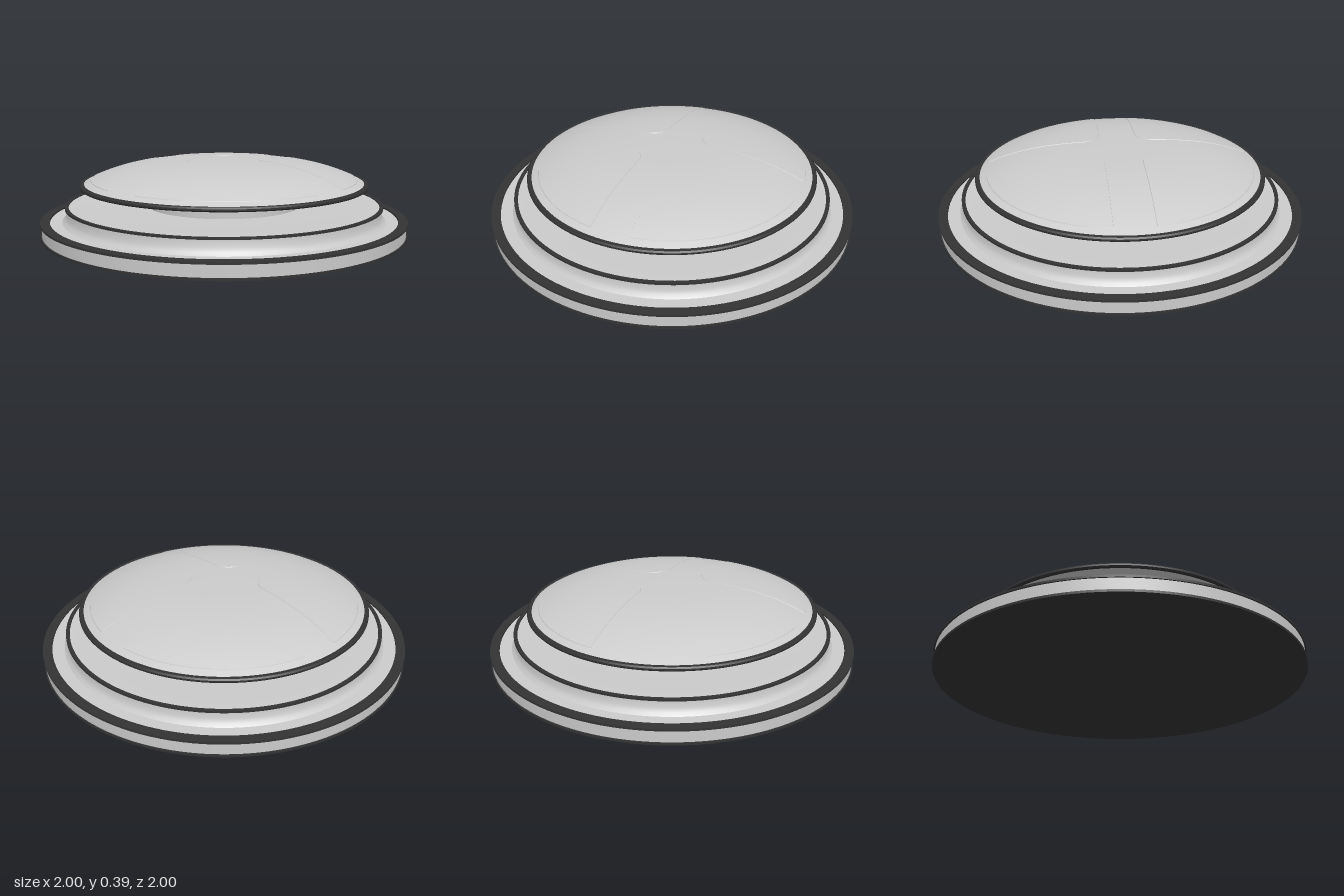
import * as THREE from 'three';
import { toCreasedNormals } from 'three/addons/utils/BufferGeometryUtils.js';

const grey = new THREE.MeshStandardMaterial({ color: 0xcccccc });
const dark = new THREE.MeshStandardMaterial({ color: 0x333333 });

// Height of the domed cap at a given radius
const domeY = (r) => 0.39 - 0.114 * Math.pow(r / 0.76, 3.2);

// Turned part; the profile runs anticlockwise in (radius, height)
function turned(name, profile, material) {
  const points = profile.map(([r, y]) => new THREE.Vector2(r, y));
  const lathe = new THREE.LatheGeometry(points, 128);
  const mesh = new THREE.Mesh(toCreasedNormals(lathe, 0.5), material);
  mesh.name = name;
  return mesh;
}

// Outline of one quarter panel: rounded inner corner, straight sides, outer arc
function panelOutline() {
  const gap = 0.1, fillet = 0.1, outer = 0.73;
  const end = Math.asin(gap / outer);
  const far = outer * Math.cos(end), near = gap + fillet;
  const pts = [];
  for (let i = 0; i < 14; i++) pts.push([near + (far - near) * i / 14, gap]);
  for (let i = 0; i < 28; i++) {
    const a = end + (Math.PI / 2 - 2 * end) * i / 28;
    pts.push([outer * Math.cos(a), outer * Math.sin(a)]);
  }
  for (let i = 0; i < 14; i++) pts.push([gap, far + (near - far) * i / 14]);
  for (let i = 0; i < 10; i++) {
    const a = Math.PI + Math.PI / 2 * i / 10;
    pts.push([near + fillet * Math.cos(a), near + fillet * Math.sin(a)]);
  }
  return pts;
}

// Thin panel that follows the dome, built from shrinking loops of the outline
function panelGeometry() {
  const outline = panelOutline(), n = outline.length, mid = 0.36;
  const scales = [1, 0.99, 0.85, 0.7, 0.55, 0.4, 0.25, 0.1, 0];
  const positions = [], index = [];
  scales.forEach((s, k) => {
    for (const [px, pz] of outline) {
      const x = mid + (px - mid) * s, z = mid + (pz - mid) * s;
      positions.push(x, domeY(Math.hypot(x, z)) + (k === 0 ? -0.002 : 0.003), z);
    }
    if (k === 0) return;
    for (let i = 0; i < n; i++) {
      const j = (i + 1) % n, a = (k - 1) * n, b = k * n;
      index.push(a + i, b + i, a + j);
      if (s > 0) index.push(a + j, b + i, b + j);
    }
  });
  const geometry = new THREE.BufferGeometry();
  geometry.setAttribute('position', new THREE.Float32BufferAttribute(positions, 3));
  geometry.setIndex(index);
  geometry.computeVertexNormals();
  return geometry;
}

export function createModel() {
  const model = new THREE.Group();

  // Base disc with dark foot and rim
  model.add(
    turned('foot', [[0, 0], [1, 0], [1, 0.012], [0.993, 0.012]], dark),
    turned('baseWall', [[0.993, 0.012], [0.993, 0.072]], grey),
    turned('baseRim', [[0.993, 0.072], [1, 0.072], [1, 0.083], [0.95, 0.083], [0.95, 0.076]], dark),
    turned('baseTop', [[0.95, 0.076], [0.885, 0.076]], grey),
  );

  // Raised step with its own dark edge and a shallow dished top
  model.add(
    turned('stepWall', [[0.885, 0.076], [0.872, 0.09], [0.862, 0.11], [0.86, 0.147]], grey),
    turned('stepRim', [[0.86, 0.147], [0.87, 0.147], [0.87, 0.157], [0.85, 0.157], [0.85, 0.152]], dark),
    turned('stepTop', [[0.85, 0.152], [0.78, 0.152], [0.7, 0.145], [0.43, 0.145]], grey),
  );

  // Neck and underside of the cap
  model.add(
    turned('neck', [[0.43, 0.145], [0.43, 0.256]], grey),
    turned('capUnderside', [[0.43, 0.256], [0.77, 0.256]], grey),
    turned('capRim', [[0.77, 0.256], [0.785, 0.254], [0.79, 0.26], [0.79, 0.268],
      [0.784, 0.275], [0.765, 0.275]], dark),
  );

  // Domed cap
  const profile = [];
  for (let i = 0; i <= 32; i++) {
    const r = 0.768 * (1 - i / 32);
    profile.push([r, domeY(r)]);
  }
  model.add(turned('dome', profile, grey));

  // Four panels that leave a cross between them
  const panel = toCreasedNormals(panelGeometry(), 0.3);
  for (let i = 0; i < 4; i++) {
    const mesh = new THREE.Mesh(panel, grey);
    mesh.name = 'domePanel' + (i + 1);
    mesh.rotation.y = i * Math.PI / 2;
    model.add(mesh);
  }
  return model;
}
